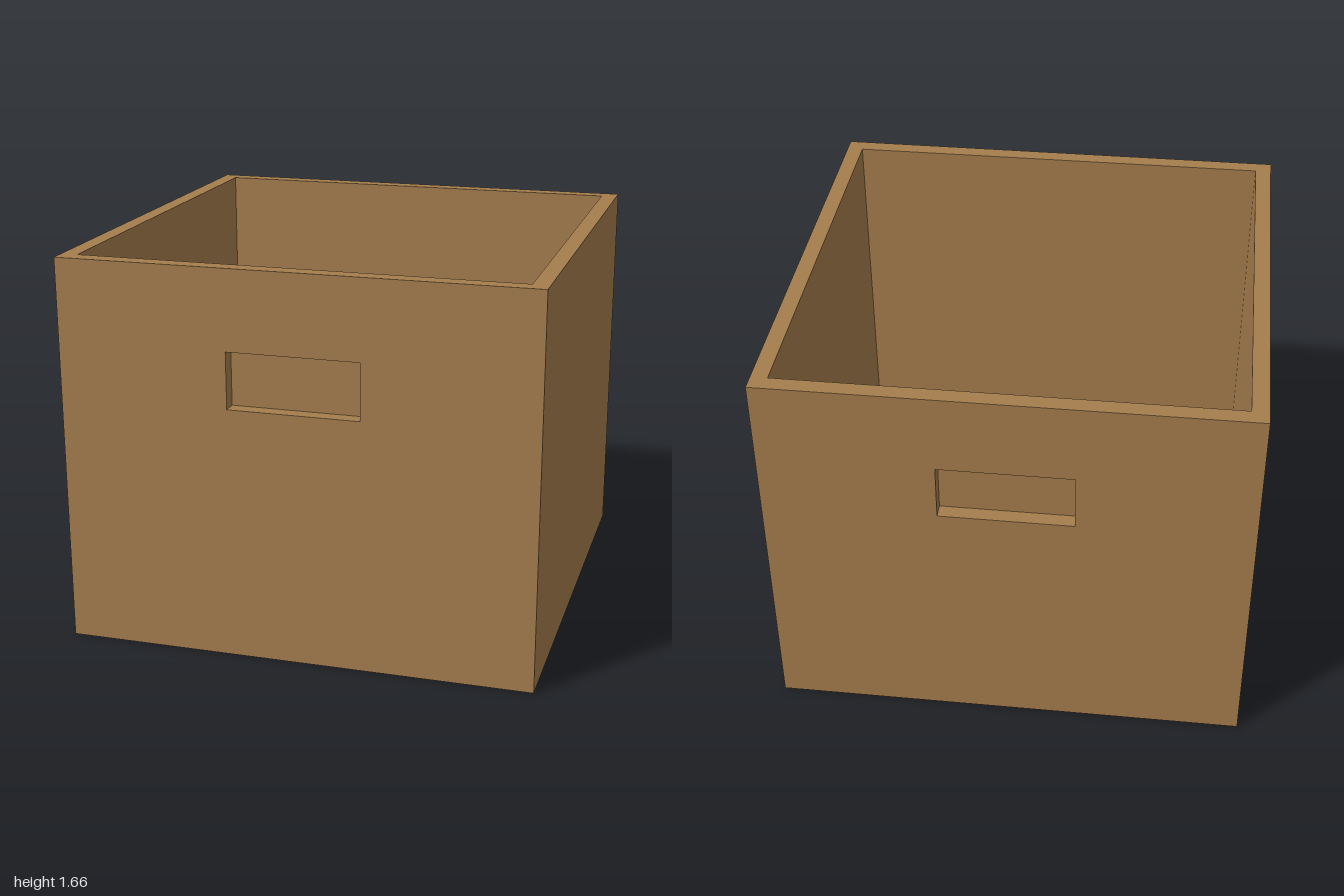
import * as THREE from 'three';

const SIZE = 2, HEIGHT = 1.66, WALL = 0.07;
const GRIP = { w: 0.555, h: 0.24, y: 1.2, depth: 0.063 };

// Flat rectangle facing +z, with a rectangular opening
function frame(w, h, holeW, holeH, holeY = 0) {
  const rect = (path, rw, rh, cy) => path
    .moveTo(-rw / 2, cy - rh / 2).lineTo(rw / 2, cy - rh / 2)
    .lineTo(rw / 2, cy + rh / 2).lineTo(-rw / 2, cy + rh / 2).closePath();
  const shape = rect(new THREE.Shape(), w, h, 0);
  shape.holes.push(rect(new THREE.Path(), holeW, holeH, holeY));
  return new THREE.ShapeGeometry(shape);
}

// Inward-facing box, open at +z, with its mouth at z = 0
function cavity(w, h, d) {
  const geo = new THREE.BoxGeometry(w, h, d);
  const index = Array.from(geo.index.array);
  index.splice(24, 6);
  geo.setIndex(index.reverse());
  geo.clearGroups();
  geo.translate(0, 0, -d / 2);
  geo.computeVertexNormals();
  return geo;
}

export function createModel() {
  const model = new THREE.Group();
  model.name = 'storageBin';
  const cardboard = new THREE.MeshStandardMaterial({ color: 0xa47d4d });
  cardboard.name = 'cardboardBrown';

  const add = (parent, name, geo) => {
    const mesh = new THREE.Mesh(geo, cardboard);
    mesh.name = name;
    parent.add(mesh);
    return mesh;
  };

  // Front and back panels with a recessed grip
  for (const [name, turn] of [['front', 0], ['back', Math.PI]]) {
    const side = new THREE.Group();
    side.name = name + 'Side';
    side.rotation.y = turn;
    const gripY = GRIP.y - HEIGHT / 2;
    add(side, name + 'Panel', frame(SIZE, HEIGHT, GRIP.w, GRIP.h, gripY))
      .position.set(0, HEIGHT / 2, SIZE / 2);
    add(side, name + 'GripRecess', cavity(GRIP.w, GRIP.h, GRIP.depth))
      .position.set(0, GRIP.y, SIZE / 2);
    model.add(side);
  }

  // Plain left and right panels
  for (const [name, s] of [['leftPanel', 1], ['rightPanel', -1]]) {
    const panel = add(model, name, new THREE.PlaneGeometry(SIZE, HEIGHT));
    panel.position.set(s * SIZE / 2, HEIGHT / 2, 0);
    panel.rotation.y = s * Math.PI / 2;
  }

  // Underside
  add(model, 'underside', new THREE.PlaneGeometry(SIZE, SIZE)).rotation.x = Math.PI / 2;

  // Rim and hollow interior, both opening upward
  const inner = SIZE - 2 * WALL;
  for (const [name, geo] of [
    ['rim', frame(SIZE, SIZE, inner, inner)],
    ['interior', cavity(inner, inner, HEIGHT - WALL)],
  ]) {
    const part = add(model, name, geo);
    part.rotation.x = -Math.PI / 2;
    part.position.y = HEIGHT;
  }

  return model;
}
